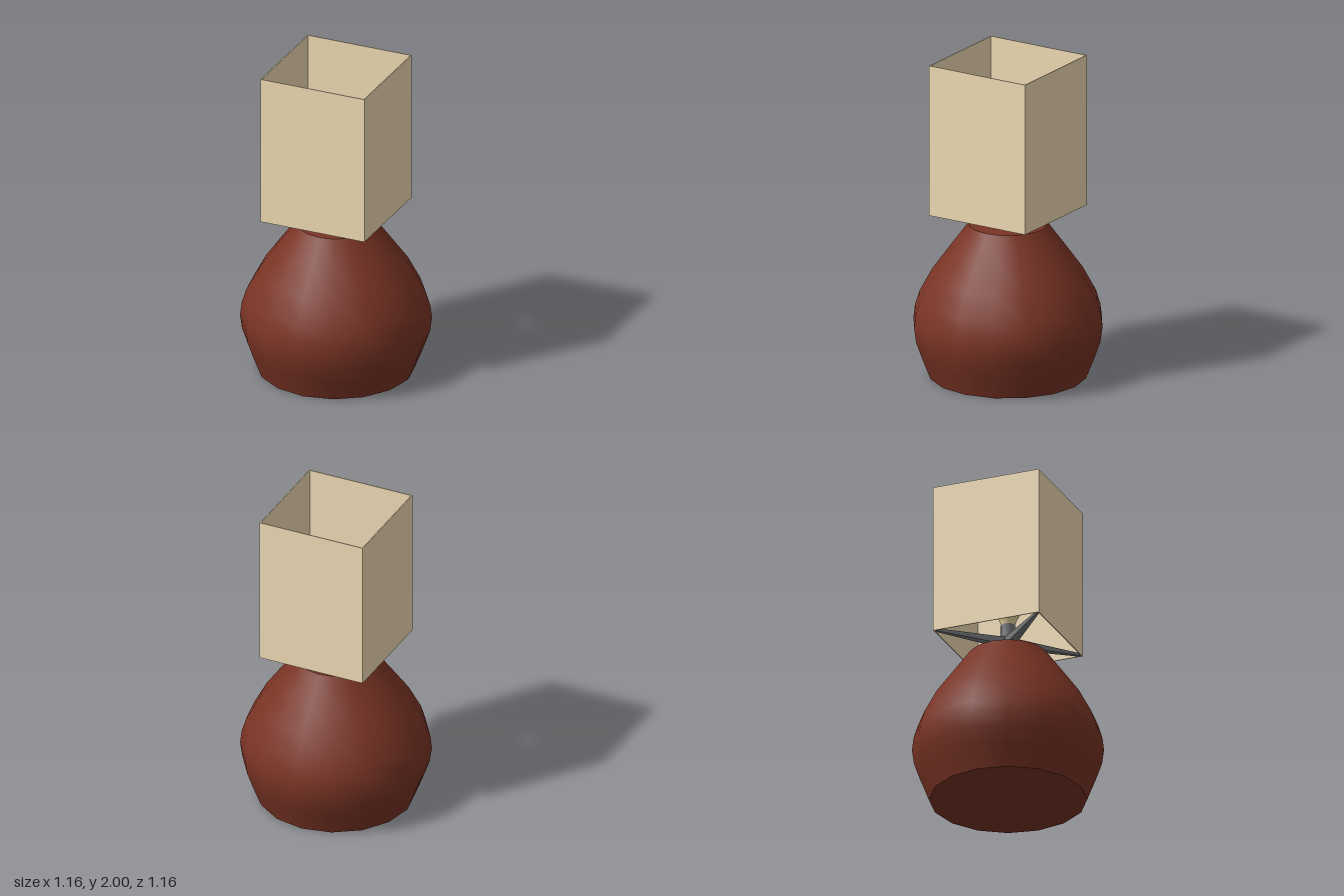
import * as THREE from 'three';
import { toCreasedNormals } from 'three/addons/utils/BufferGeometryUtils.js';

const clay = new THREE.MeshStandardMaterial({ color: 0x7a3425 });
const metal = new THREE.MeshStandardMaterial({ color: 0x77797b });
const cloth = new THREE.MeshStandardMaterial({ color: 0xf2ddb6, side: THREE.DoubleSide });
const glass = new THREE.MeshStandardMaterial({ color: 0xf2dca4 });

// Revolves a [radius, height] profile, listed from bottom to top
function turned(name, profile, sides, material, crease = 0.7) {
  const points = profile.map(([r, y]) => new THREE.Vector2(r, y));
  const mesh = new THREE.Mesh(toCreasedNormals(new THREE.LatheGeometry(points, sides), crease), material);
  mesh.name = name;
  return mesh;
}

// Bar along +x that narrows towards its tip, with its underside rising outwards
function armGeometry() {
  const length = 0.475;
  const geometry = new THREE.BoxGeometry(length, 1, 1);
  const p = geometry.attributes.position;
  for (let i = 0; i < p.count; i++) {
    const t = p.getX(i) / length + 0.5;
    const halfWidth = THREE.MathUtils.lerp(0.034, 0.008, t);
    const bottom = THREE.MathUtils.lerp(1.02, 1.043, t);
    const top = THREE.MathUtils.lerp(1.07, 1.058, t);
    p.setXYZ(i, t * length, p.getY(i) > 0 ? top : bottom, p.getZ(i) * 2 * halfWidth);
  }
  geometry.computeVertexNormals();
  return geometry;
}

export function createModel() {
  const lamp = new THREE.Group();
  lamp.name = 'tableLamp';

  // Pear-shaped base, closed at both ends
  lamp.add(turned('base', [
    [0, 0], [0.48, 0], [0.535, 0.14], [0.57, 0.24], [0.582, 0.33], [0.573, 0.41],
    [0.545, 0.5], [0.465, 0.65], [0.35, 0.81], [0.24, 0.96], [0, 0.96],
  ], 16, clay));

  // Collar and bulb socket
  lamp.add(turned('socket', [
    [0, 0.96], [0.117, 0.96], [0.117, 0.99], [0.045, 1.025], [0.045, 1.16], [0, 1.16],
  ], 12, metal));

  // Bulb: flared neck running into a round top
  const bulbProfile = [[0.042, 1.16], [0.055, 1.2], [0.08, 1.25]];
  for (let i = 0; i <= 7; i++) {
    const a = -0.5 + (i / 7) * (Math.PI / 2 + 0.5);
    bulbProfile.push([Math.max(0, 0.116 * Math.cos(a)), 1.345 + 0.116 * Math.sin(a)]);
  }
  lamp.add(turned('bulb', bulbProfile, 16, glass, 1));

  // Four arms holding the shade corners
  const arm = armGeometry();
  for (let i = 0; i < 4; i++) {
    const mesh = new THREE.Mesh(arm, metal);
    mesh.name = 'shadeArm' + (i + 1);
    mesh.rotation.y = (i * Math.PI) / 2;
    lamp.add(mesh);
  }

  // Square shade, open above and below, with thin walls
  lamp.add(turned('shade', [
    [0.481, 1.045], [0.49, 1.045], [0.49, 2], [0.481, 2], [0.481, 1.045],
  ], 4, cloth));

  return lamp;
}
